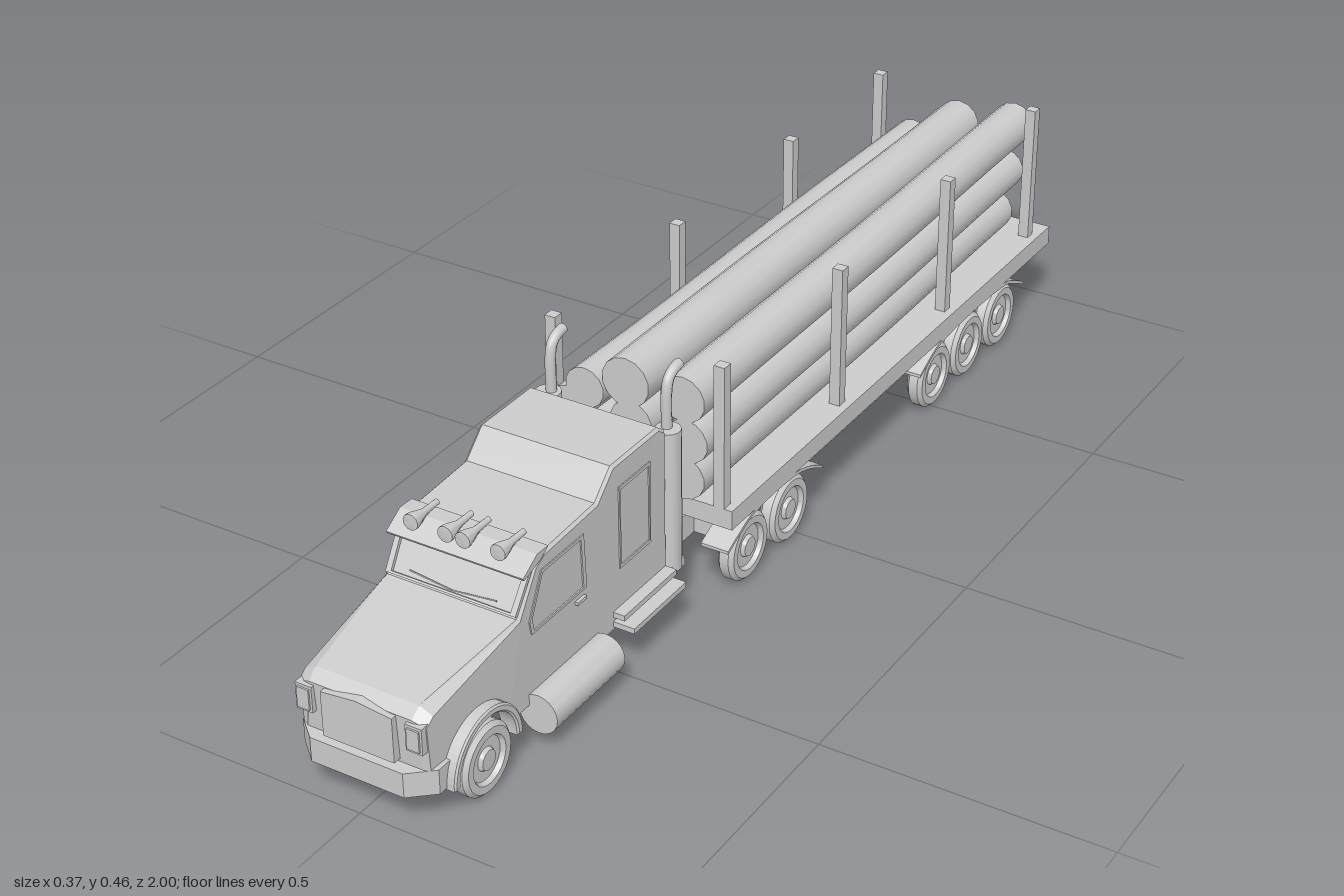
import * as THREE from 'three';
import { toCreasedNormals } from 'three/addons/utils/BufferGeometryUtils.js';

const grey = new THREE.MeshStandardMaterial({ color: 0xcccccc, side: THREE.DoubleSide });

export function createModel() {
  const model = new THREE.Group();

  const add = (name, geo, x = 0, y = 0, z = 0) => {
    const m = new THREE.Mesh(geo, grey);
    m.name = name;
    m.position.set(x, y, z);
    model.add(m);
    return m;
  };
  // box given by its limits on each axis
  const box = (name, x0, x1, y0, y1, z0, z1) =>
    add(name, new THREE.BoxGeometry(x1 - x0, y1 - y0, z1 - z0), (x0 + x1) / 2, (y0 + y1) / 2, (z0 + z1) / 2);
  const poly = (pts) => new THREE.Shape(pts.map((p) => new THREE.Vector2(...p)));
  // side profile in (z, y), extruded across x and centred on x = 0
  const across = (shape, width, bevel = 0) => {
    const depth = width - 2 * bevel;
    const g = new THREE.ExtrudeGeometry(shape, {
      depth, curveSegments: 12, bevelEnabled: bevel > 0, bevelThickness: bevel,
      bevelSize: bevel, bevelOffset: -bevel, bevelSegments: 1,
    });
    return g.rotateY(-Math.PI / 2).translate(depth / 2, 0, 0);
  };
  const sides = [['left', 1], ['right', -1]];

  // Cab, hood and sleeper in one profile with a front wheel arch
  const cab = new THREE.Shape();
  cab.moveTo(0.335, 0.07);
  cab.lineTo(0.785, 0.07);
  cab.absarc(0.86, 0.07, 0.075, Math.PI, 0, true);
  cab.lineTo(0.975, 0.07);
  [[0.982, 0.195], [0.962, 0.21], [0.75, 0.243], [0.705, 0.312], [0.68, 0.325], [0.535, 0.332],
    [0.49, 0.375], [0.355, 0.375], [0.335, 0.36]].forEach((p) => cab.lineTo(...p));
  const solid = across(cab, 0.248, 0.005).attributes.position;
  // leave out the faces that look down, so the shell is hollow, and chamfer the hood
  const shell = [];
  const tri = new THREE.Triangle(), normal = new THREE.Vector3();
  for (let i = 0; i < solid.count; i += 3) {
    tri.setFromAttributeAndIndices(solid, i, i + 1, i + 2).getNormal(normal);
    const lowArch = Math.abs(normal.x) < 0.9 && Math.max(tri.a.y, tri.b.y, tri.c.y) < 0.147 && tri.a.z > 0.4 && tri.a.z < 0.94;
    if (normal.y < -0.3 || lowArch) continue;
    [tri.a, tri.b, tri.c].forEach((v) => {
      const edge = Math.abs(v.x) > 0.121;
      if (v.z > 0.752 && v.y > 0.18) edge ? (v.y -= 0.008) : (v.x *= 0.84);
      v.x *= 1 - 0.28 * Math.max(0, v.z - 0.75);
      shell.push(v.x, v.y, v.z);
    });
  }
  const cabGeo = new THREE.BufferGeometry();
  cabGeo.setAttribute('position', new THREE.Float32BufferAttribute(shell, 3));
  cabGeo.computeVertexNormals();
  add('cabBody', cabGeo);

  // Windshield with surround, and two wipers
  const screen = new THREE.Group();
  screen.name = 'windshield';
  screen.position.set(0, 0.278, 0.728);
  screen.rotation.x = -Math.atan2(0.045, 0.069);
  const surround = poly([[-0.12, -0.038], [0.12, -0.038], [0.122, 0.036], [-0.122, 0.036]]);
  surround.holes.push(poly([[-0.11, -0.034], [0.11, -0.034], [0.112, 0.03], [-0.112, 0.03]]));
  const frame = new THREE.Mesh(new THREE.ExtrudeGeometry(surround, { depth: 0.006, bevelEnabled: false }), grey);
  frame.name = 'windshieldSurround';
  screen.add(frame);
  sides.forEach(([n, s]) => {
    const wiper = new THREE.Mesh(new THREE.BoxGeometry(0.08, 0.002, 0.003), grey);
    wiper.name = n + 'Wiper';
    wiper.position.set(s * 0.04, -0.028, 0.003);
    wiper.rotation.z = s * 0.09;
    screen.add(wiper);
  });
  model.add(screen);

  // Sun visor, a wedge over the windshield, narrower at its front edge
  const visor = across(poly([[0.69, 0.32], [0.735, 0.306], [0.738, 0.311], [0.70, 0.334], [0.67, 0.333]]), 0.252);
  add('sunVisor', visor);

  // Roof lamps shaped as small horns
  const hornProfile = [[0, -0.035], [0.005, -0.035], [0.006, 0], [0.014, 0.027], [0.014, 0.034], [0, 0.036]];
  [-0.08, -0.016, 0.016, 0.08].forEach((x) => {
    const g = new THREE.LatheGeometry(hornProfile.map((p) => new THREE.Vector2(...p)), 14);
    add('roofLamp', toCreasedNormals(g.rotateX(Math.PI / 2), 0.6), x, 0.341, 0.702);
    box('roofLampFoot', x - 0.003, x + 0.003, 0.32, 0.338, 0.695, 0.712);
  });

  // Grille and swept bumper
  const grille = poly([[-0.065, 0.113], [0.065, 0.113], [0.065, 0.193], [0, 0.2], [-0.065, 0.193]]);
  add('grille', new THREE.ExtrudeGeometry(grille, { depth: 0.022, bevelEnabled: false }), 0, 0, 0.97);
  const bumper = poly([[-0.125, -0.925], [-0.125, -0.965], [-0.085, -1], [0.085, -1], [0.125, -0.965], [0.125, -0.925],
    [0.112, -0.925], [0.112, -0.955], [-0.112, -0.955], [-0.112, -0.925]]);
  add('frontBumper', new THREE.ExtrudeGeometry(bumper, { depth: 0.044, bevelEnabled: false })
    .rotateX(-Math.PI / 2), 0, 0.063, 0);

  // Thin window or door frame on a side of the cab
  const sideFrame = (name, s, pts, inset) => {
    const c = pts.reduce((a, p) => [a[0] + p[0] / pts.length, a[1] + p[1] / pts.length], [0, 0]);
    const sh = poly(pts);
    sh.holes.push(poly(pts.map((p) => p.map((v, i) => c[i] + (v - c[i]) * inset))));
    add(name, across(sh, 0.004), s * 0.124);
  };

  // Wheel: tyre, dished rim and hub turned as one piece, flat at the back
  const wheelProfile = [[0, -0.016], [0.052, -0.016], [0.062, -0.008], [0.062, 0.009], [0.055, 0.016], [0.042, 0.016],
    [0.038, 0.008], [0.02, 0.008], [0.017, 0.015], [0, 0.015]].map((p) => new THREE.Vector2(...p));
  const wheel = (name, s, x, z) => {
    const g = new THREE.LatheGeometry(wheelProfile, 24).rotateZ(-s * Math.PI / 2);
    add(name, toCreasedNormals(g, 0.5), s * x, 0.062, z);
  };

  // Mudguard following a curve in (z, y)
  const mudguard = (name, s, pts) => {
    const line = new THREE.CatmullRomCurve3(pts.map(([z, y]) => new THREE.Vector3(z, y, 0))).getPoints(20);
    const top = line.map((p) => [p.x, p.y]);
    const under = line.map((p) => [p.x, p.y - 0.006]).reverse();
    add(name, across(poly([...top, ...under]), 0.052), s * 0.159);
  };

  sides.forEach(([n, s]) => {
    // Headlight with rim
    const headlight = box(n + 'Headlight', -0.015, 0.015, 0.143, 0.19, 0.965, 0.988);
    headlight.position.x = s * 0.1;
    const lens = box(n + 'HeadlightLens', -0.011, 0.011, 0.148, 0.185, 0.975, 0.991);
    lens.position.x = s * 0.1;

    // Cab windows, doors and handle
    sideFrame(n + 'SideWindow', s, [[0.57, 0.2], [0.72, 0.2], [0.725, 0.225], [0.69, 0.3], [0.575, 0.3]], 0.9);
    sideFrame(n + 'SleeperDoor', s, [[0.385, 0.18], [0.475, 0.18], [0.475, 0.33], [0.385, 0.33]], 0.92);
    box(n + 'DoorHandle', s * 0.126 - 0.003, s * 0.126 + 0.003, 0.183, 0.189, 0.575, 0.6);

    // Front wheel and its flare
    const flare = new THREE.Shape();
    flare.absarc(0, 0, 0.088, -0.05, Math.PI + 0.05, false);
    flare.absarc(0, 0, 0.074, Math.PI + 0.05, -0.05, true);
    add(n + 'FrontWheelFlare', across(flare, 0.034, 0.003), s * 0.124, 0.064, 0.86);
    wheel(n + 'FrontWheel', s, 0.124, 0.86);

    // Fuel tank and steps
    add(n + 'FuelTank', toCreasedNormals(new THREE.CylinderGeometry(0.035, 0.035, 0.19, 20).rotateX(Math.PI / 2), 0.6),
      s * 0.139, 0.064, 0.635);
    box(n + 'SleeperStep', s * 0.13 - 0.033, s * 0.13 + 0.033, 0.08, 0.09, 0.34, 0.495);
    box(n + 'UpperStep', s * 0.125 - 0.02, s * 0.125 + 0.02, 0.098, 0.108, 0.34, 0.495);

    // Exhaust: muffler and pipe bent to the rear
    add(n + 'Muffler', toCreasedNormals(new THREE.CylinderGeometry(0.022, 0.022, 0.26, 14), 0.6), s * 0.114, 0.22, 0.313);
    const pipe = new THREE.CatmullRomCurve3([[0.31, 0.33], [0.31, 0.415], [0.304, 0.435], [0.29, 0.445], [0.272, 0.448]]
      .map(([z, y]) => new THREE.Vector3(s * 0.11, y, z)));
    add(n + 'ExhaustPipe', new THREE.TubeGeometry(pipe, 16, 0.009, 10));
    box(n + 'MufflerBracket', s * 0.1 - 0.03, s * 0.1 + 0.03, 0.085, 0.1, 0.29, 0.34);

    // Chassis rail, trailer side wall
    box(n + 'ChassisRail', s * 0.075 - 0.005, s * 0.075 + 0.005, 0.07, 0.115, 0.18, 0.34);
    box(n + 'TrailerSideWall', s * 0.128 - 0.006, s * 0.128 + 0.006, 0.07, 0.14, -0.95, 0.18);

    // Wheels and mudguards
    [0.16, 0.025].forEach((z) => wheel(n + 'DriveWheel', s, 0.162, z));
    [-0.507, -0.64, -0.773].forEach((z) => wheel(n + 'TrailerWheel', s, 0.162, z));
    mudguard(n + 'DriveMudguard', s, [[0.245, 0.102], [0.21, 0.118], [0.16, 0.136], [0.02, 0.136], [-0.03, 0.122], [-0.07, 0.102]]);
    mudguard(n + 'TrailerMudguard', s, [[-0.43, 0.102], [-0.47, 0.122], [-0.51, 0.136], [-0.77, 0.136], [-0.81, 0.122], [-0.85, 0.102]]);

    // Upright stakes
    [0.225, -0.16, -0.555, -0.9].forEach((z) =>
      box(n + 'Stake', s * 0.161 - 0.01, s * 0.161 + 0.01, 0.15, 0.437, z - 0.01, z + 0.01));
  });

  // Trailer deck, end walls, coupling and rear bumper
  box('trailerDeck', -0.186, 0.186, 0.138, 0.174, -0.955, 0.235);
  box('trailerFrontWall', -0.128, 0.128, 0.07, 0.14, 0.17, 0.18);
  box('trailerRearWall', -0.128, 0.128, 0.07, 0.14, -0.95, -0.94);
  box('couplingPlate', -0.08, 0.08, 0.108, 0.118, 0.18, 0.335);
  box('rearStepPlate', -0.14, 0.14, 0.13, 0.14, -0.99, -0.95);
  box('rearBumper', -0.165, 0.165, 0.118, 0.142, -1, -0.984);
  box('rearUnderrunBar', -0.115, 0.115, 0.1, 0.118, -0.998, -0.984);

  // Logs: [front x, front y, rear x, rear y, radius, rear z]
  const logs = [
    [-0.112, 0.216, -0.1, 0.214, 0.04, -0.91], [-0.01, 0.216, 0, 0.214, 0.041, -0.93], [0.1, 0.217, 0.095, 0.215, 0.041, -0.9],
    [-0.117, 0.294, -0.105, 0.285, 0.035, -0.88], [0.0, 0.292, 0.01, 0.285, 0.04, -0.92], [0.107, 0.287, 0.1, 0.29, 0.04, -0.93],
    [-0.083, 0.336, -0.085, 0.325, 0.037, -0.89], [-0.01, 0.364, -0.012, 0.355, 0.045, -0.94], [0.1, 0.363, 0.09, 0.362, 0.042, -0.98],
  ];
  logs.forEach(([x0, y0, x1, y1, r, z1], k) => {
    const z0 = 0.255 - 0.006 * (k % 3);
    const g = new THREE.CylinderGeometry(r, r * 0.95, 1, 14, 8).rotateX(Math.PI / 2);
    const p = g.attributes.position;
    for (let i = 0; i < p.count; i++) {
      const t = 0.5 - p.getZ(i);
      const wave = Math.sin(t * 7 + k * 2.1) * 0.003;
      p.setXYZ(i, p.getX(i) + x0 + (x1 - x0) * t + wave, p.getY(i) + y0 + (y1 - y0) * t + wave * 0.4, z0 + (z1 - z0) * t);
    }
    add('log', toCreasedNormals(g, 0.6));
  });

  return model;
}
